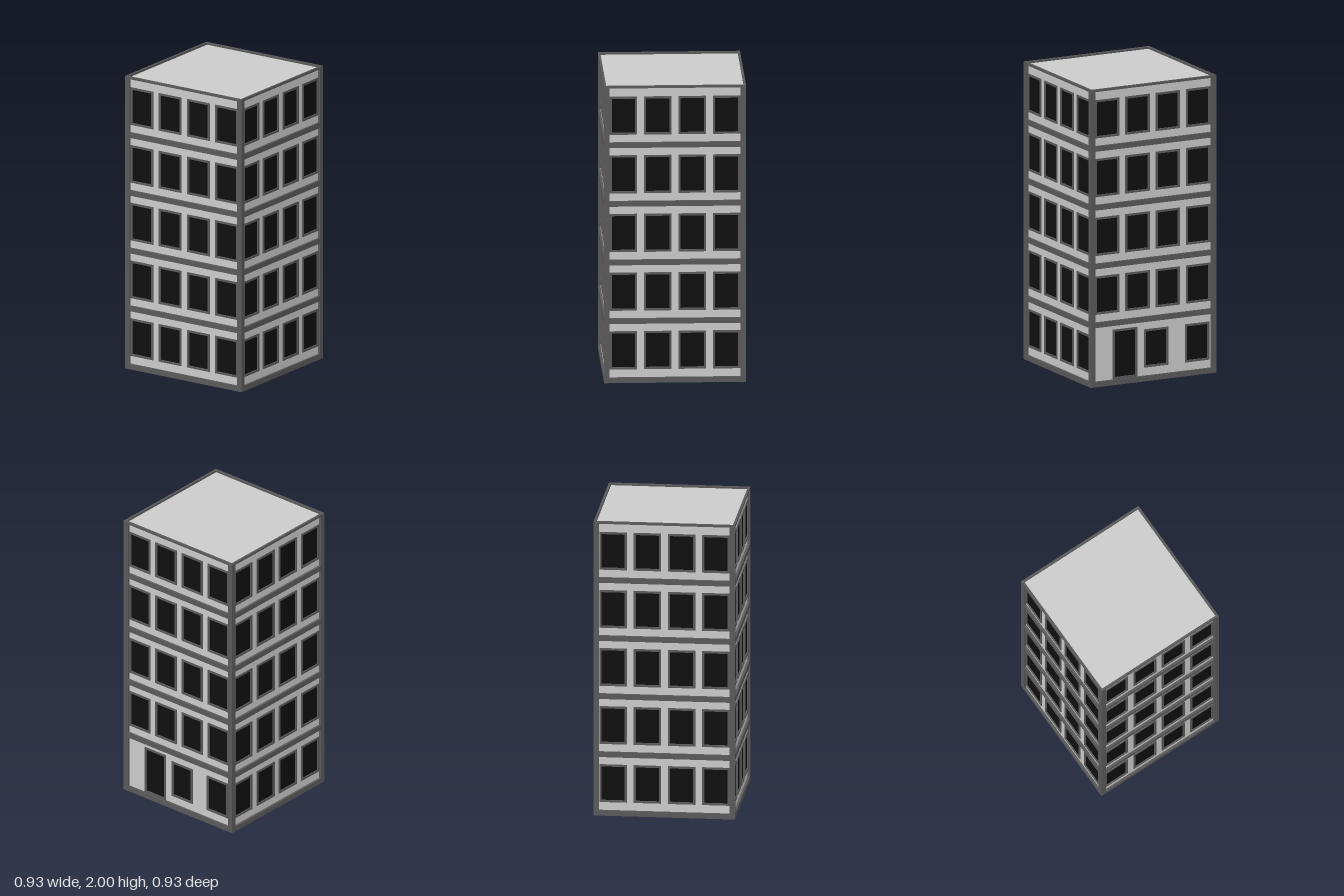
import * as THREE from 'three';

const OUT = 0.465, WALL = 0.45, INNER = 0.43; // outer trim, wall face, inner wall face
const PITCH = 0.395, FLOORS = 5, BAND = 0.036;
const ROOF = 1.986, TOP = 2;

const wallMat = new THREE.MeshStandardMaterial({ color: 0xcccccc });
const trimMat = new THREE.MeshStandardMaterial({ color: 0x5a5a5a });
const glassMat = new THREE.MeshStandardMaterial({ color: 0x0f0f0f });

function add(parent, name, geometry, material, x = 0, y = 0, z = 0) {
  const mesh = new THREE.Mesh(geometry, material);
  mesh.name = name;
  mesh.position.set(x, y, z);
  parent.add(mesh);
  return mesh;
}

function rect(Type, x0, y0, x1, y1) {
  const r = new Type();
  r.moveTo(x0, y0).lineTo(x1, y0).lineTo(x1, y1).lineTo(x0, y1).closePath();
  return r;
}

function extrude(shape, depth) {
  return new THREE.ExtrudeGeometry(shape, { depth, bevelEnabled: false });
}

// Horizontal square ring, standing on y = 0
function ring(outer, inner, height) {
  const shape = rect(THREE.Shape, -outer, -outer, outer, outer);
  shape.holes.push(rect(THREE.Path, -inner, -inner, inner, inner));
  return extrude(shape, height).rotateX(-Math.PI / 2);
}

// Openings of one facade, each as { x, y0, y1, door }
function openingsFor(hasDoor) {
  const list = [];
  for (let f = 0; f < FLOORS; f++) {
    const y = f * PITCH;
    if (f === 0 && hasDoor) {
      list.push({ x: -0.205, y0: BAND, y1: 0.37, door: true });
      for (const x of [0.026, 0.33]) list.push({ x, y0: 0.09, y1: 0.346 });
      continue;
    }
    for (let i = 0; i < 4; i++) {
      list.push({ x: (i - 1.5) * 0.225, y0: y + 0.09, y1: y + 0.346 });
    }
  }
  return list;
}

// One facade facing +z
function facade(name, hasDoor) {
  const group = new THREE.Group();
  group.name = name;
  const half = 0.09, bar = 0.014;
  const wall = rect(THREE.Shape, -WALL, 0.01, WALL, ROOF - 0.002);
  for (const o of openingsFor(hasDoor)) {
    const label = o.door ? 'door' : 'window';
    const h = o.y1 - o.y0;
    wall.holes.push(rect(THREE.Path, o.x - half + 0.003, o.y0 + 0.003, o.x + half - 0.003, o.y1 - 0.003));

    // Surround passes through the wall and shows on both faces
    const frame = rect(THREE.Shape, -half, 0, half, h);
    frame.holes.push(rect(THREE.Path, -half + bar, bar, half - bar, h - bar));
    add(group, label + 'Frame', extrude(frame, 0.032), trimMat, o.x, o.y0, INNER - 0.006);

    const pane = new THREE.BoxGeometry(2 * (half - bar) + 0.004, h - 2 * bar + 0.004, 0.012);
    add(group, label + 'Panel', pane, glassMat, o.x, o.y0 + h / 2, 0.442);
  }
  add(group, 'wall', extrude(wall, WALL - INNER), wallMat, 0, 0, INNER);
  return group;
}

export function createModel() {
  const model = new THREE.Group();
  model.name = 'apartmentBlock';

  // Four facades, the back one with the entrance
  ['frontFacade', 'leftFacade', 'backFacade', 'rightFacade'].forEach((name, i) => {
    const side = facade(name, i === 2);
    side.rotation.y = i * Math.PI / 2;
    model.add(side);
  });

  // Corner pillars
  const w = OUT - INNER;
  const pillar = new THREE.BoxGeometry(w, ROOF - 0.002, w);
  for (const sx of [-1, 1]) for (const sz of [-1, 1]) {
    add(model, 'cornerPillar', pillar, trimMat, sx * (OUT - w / 2), (ROOF - 0.002) / 2, sz * (OUT - w / 2));
  }

  // Band at the foot of every storey; the building is hollow and open below
  for (let f = 0; f < FLOORS; f++) {
    add(model, 'storeyBand', ring(OUT, INNER - 0.003, BAND), trimMat, 0, f * PITCH + (f ? 0.003 : 0), 0);
  }

  // Flat roof inside a low rim
  add(model, 'roof', new THREE.BoxGeometry(2 * WALL, 0.016, 2 * WALL), wallMat, 0, ROOF - 0.008, 0);
  add(model, 'roofRim', ring(OUT, WALL, TOP - ROOF + 0.002), trimMat, 0, ROOF - 0.002, 0);

  return model;
}
